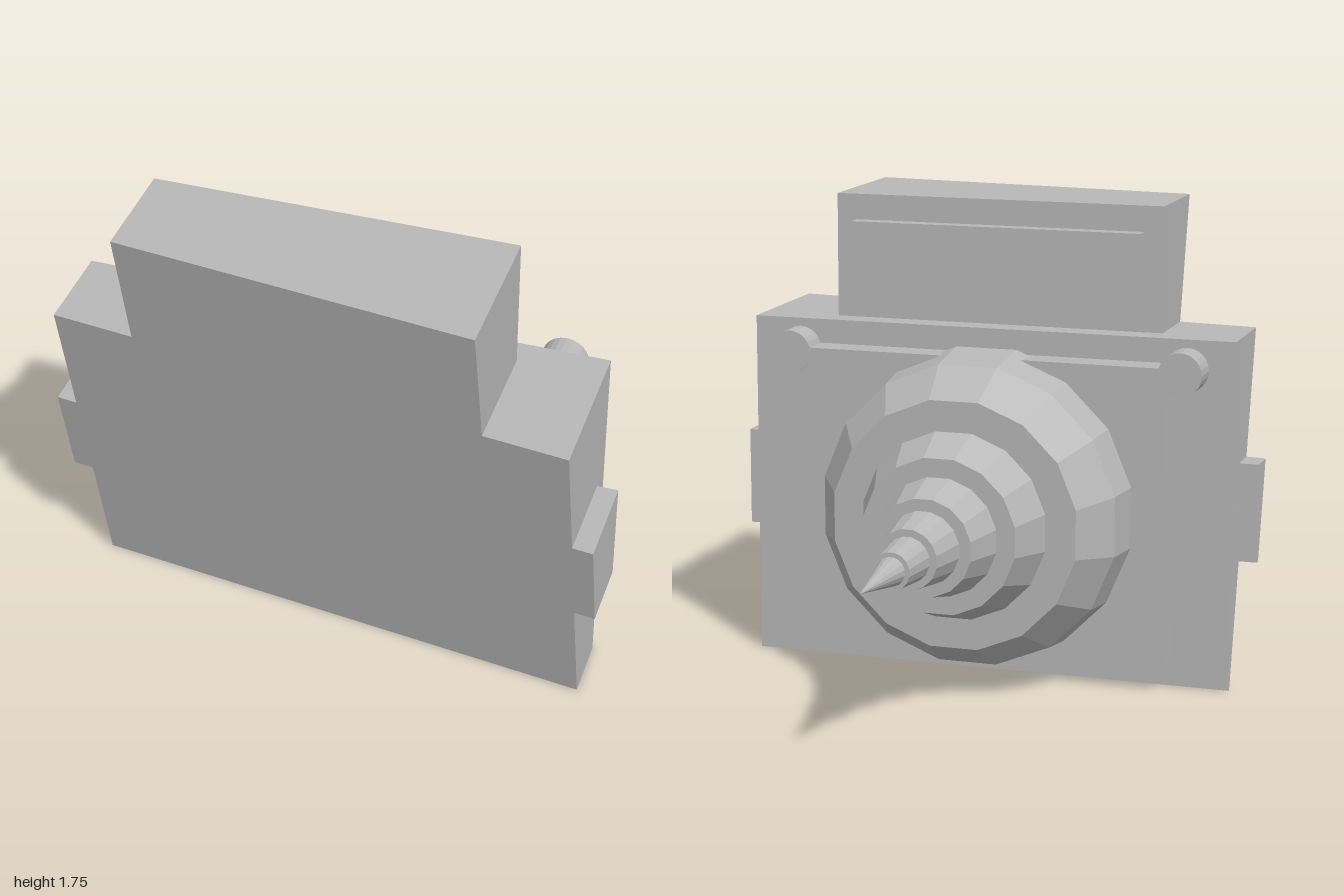
import * as THREE from 'three';

const grey = new THREE.MeshStandardMaterial({ color: 0xb8b8b8 });
grey.name = 'plain grey';

const AXIS_Y = 0.647;

// Sloping plane shared by the front of every body block
const frontZ = (x, y) => 0.495 + 0.115 * x + 0.2465 * y;

function addPart(group, name, geometry) {
  const flat = geometry.index ? geometry.toNonIndexed() : geometry;
  flat.computeVertexNormals();
  const mesh = new THREE.Mesh(flat, grey);
  mesh.name = name;
  group.add(mesh);
}

// Box given by its limits
function box(x0, x1, y0, y1, z0, z1) {
  return new THREE.BoxGeometry(x1 - x0, y1 - y0, z1 - z0)
    .translate((x0 + x1) / 2, (y0 + y1) / 2, (z0 + z1) / 2);
}

// Box with its front corners moved onto the sloping plane
function wedge(x0, x1, y0, y1, back) {
  const geometry = box(x0, x1, y0, y1, back, back + 1);
  const p = geometry.attributes.position;
  for (let i = 0; i < p.count; i++) {
    if (p.getZ(i) > back + 0.5) p.setZ(i, frontZ(p.getX(i), p.getY(i)));
  }
  return geometry;
}

export function createModel() {
  const group = new THREE.Group();
  group.name = 'model';

  // Body blocks
  addPart(group, 'mainBody', wedge(-0.917, 0.917, 0, 1.29, 0.38));
  addPart(group, 'upperBody', wedge(-0.624, 0.624, 1.29, 1.75, 0.475));
  addPart(group, 'leftTab', wedge(0.917, 0.99, 0.465, 0.83, 0.475));
  addPart(group, 'rightTab', wedge(-0.99, -0.917, 0.465, 0.83, 0.475));

  // Raised panels on the back
  addPart(group, 'upperPanel', box(-0.55, 0.55, 1.44, 1.655, 0.42, 0.475));
  addPart(group, 'backPlate', box(-0.695, 0.695, 0.1, 1.2, 0.27, 0.38));

  // Round pegs at the upper corners of the plate
  for (const side of [1, -1]) {
    addPart(group, side > 0 ? 'leftPeg' : 'rightPeg',
      new THREE.CylinderGeometry(0.08, 0.08, 0.112, 24)
        .rotateX(Math.PI / 2).translate(side * 0.74, 1.18, 0.324));
  }

  // Stepped cone pointing backwards: [radius, z]
  const profile = [
    [0, 0.34], [0.588, 0.34], [0.56, 0.12], [0.46, -0.04],
    [0.346, -0.04], [0.285, -0.207], [0.216, -0.207], [0.176, -0.373],
    [0.133, -0.373], [0.108, -0.54], [0.082, -0.54], [0.067, -0.703],
    [0.051, -0.703], [0, -1],
  ].map(([r, z]) => new THREE.Vector2(r, -z));
  addPart(group, 'steppedCone',
    new THREE.LatheGeometry(profile, 16, Math.PI / 16)
      .rotateX(-Math.PI / 2).translate(0, AXIS_Y, 0));

  return group;
}
